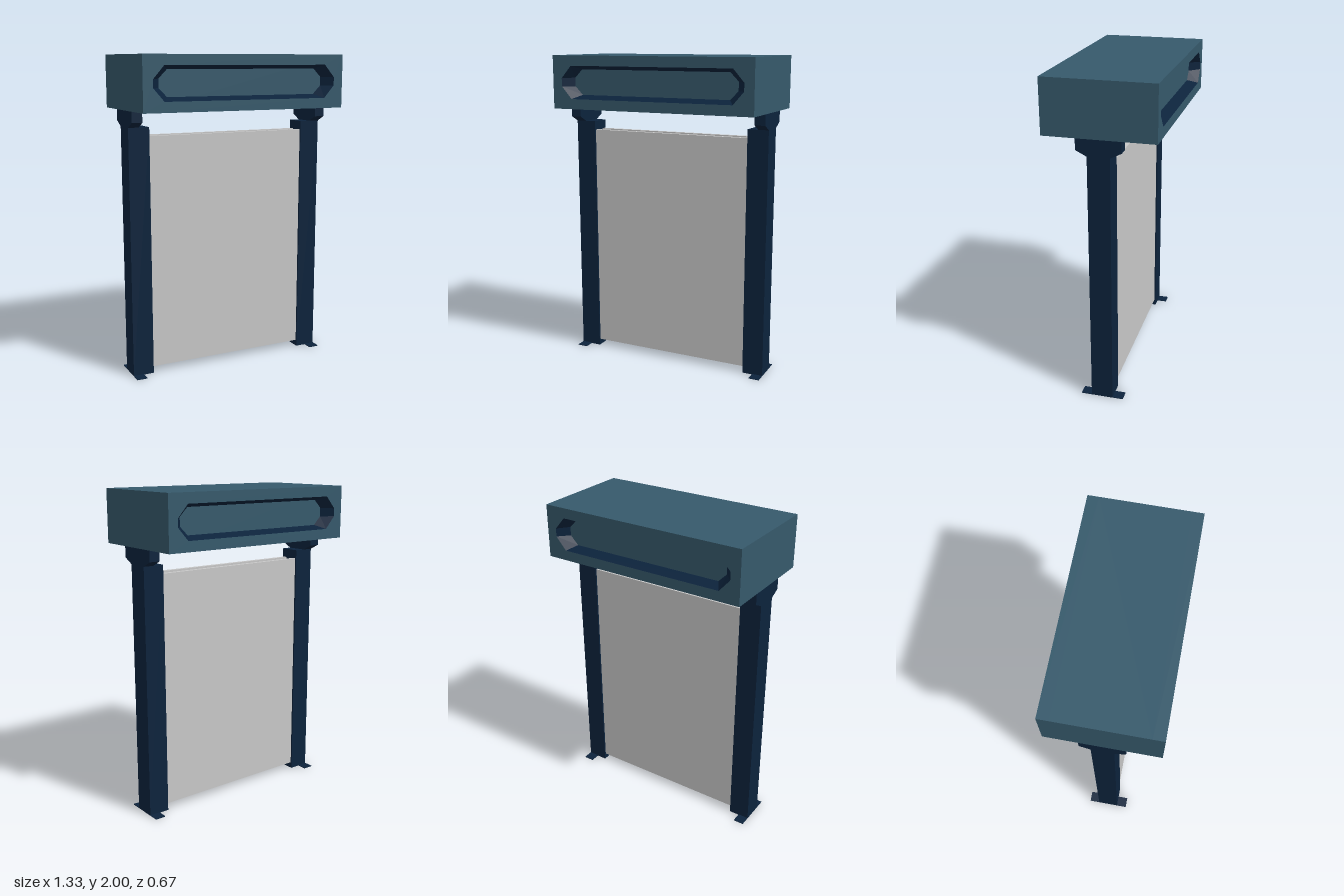
import * as THREE from 'three';

const teal = new THREE.MeshStandardMaterial({ color: 0x36596b });
teal.name = 'teal housing';
const navy = new THREE.MeshStandardMaterial({ color: 0x0c233c });
navy.name = 'navy frame';
const grey = new THREE.MeshStandardMaterial({ color: 0xc8c8c8 });
grey.name = 'grey panel';

function add(parent, name, geometry, material, x = 0, y = 0, z = 0) {
  const mesh = new THREE.Mesh(geometry, material);
  mesh.name = name;
  mesh.position.set(x, y, z);
  parent.add(mesh);
  return mesh;
}

// Long octagon, counter-clockwise: half size (w, h), flat half lengths (fx, fy)
function octagon(w, h, fx, fy) {
  return [[-fx, -h], [fx, -h], [w, -fy], [w, fy], [fx, h], [-fx, h], [-w, fy], [-w, -fy]]
    .map(([x, y]) => new THREE.Vector2(x, y));
}

// Sloping ring from the outer outline at z = depth to the inner one at z = 0
function slopedRing(outer, inner, depth) {
  const points = [];
  outer.forEach((a, k) => {
    const n = (k + 1) % outer.length;
    const b = outer[n], c = inner[n], d = inner[k];
    points.push(a.x, a.y, depth, b.x, b.y, depth, c.x, c.y, 0);
    points.push(a.x, a.y, depth, c.x, c.y, 0, d.x, d.y, 0);
  });
  const geometry = new THREE.BufferGeometry();
  geometry.setAttribute('position', new THREE.Float32BufferAttribute(points, 3));
  geometry.computeVertexNormals();
  return geometry;
}

export function createModel() {
  const model = new THREE.Group();
  model.name = 'gate';

  // Header housing: a solid core with a recessed face on front and back
  const W = 0.667, H = 0.165, depth = 0.067;
  const header = new THREE.Group();
  header.name = 'header';
  header.position.y = 1.835;
  model.add(header);
  add(header, 'headerCore', new THREE.BoxGeometry(W * 2, H * 2, 0.532), teal);

  const outer = octagon(0.605, 0.102, 0.537, 0.025);
  const inner = octagon(0.547, 0.079, 0.495, 0.027);
  const face = new THREE.Shape([[-W, -H], [W, -H], [W, H], [-W, H]].map(([x, y]) => new THREE.Vector2(x, y)));
  face.holes.push(new THREE.Path(outer));
  for (const angle of [0, Math.PI]) {
    const side = new THREE.Group();
    side.name = angle ? 'backFace' : 'frontFace';
    side.rotation.y = angle;
    header.add(side);
    add(side, 'headerFace', new THREE.ExtrudeGeometry(face, { depth, bevelEnabled: false }), teal, 0, 0, 0.266);
    add(side, 'recessWall', slopedRing(outer, inner, depth), navy, 0, 0, 0.266);
  }

  // Posts with tapered top brackets and flat feet
  const bracketShape = new THREE.Shape([
    [-0.067, 1.57], [0.067, 1.57], [0.133, 1.603], [0.133, 1.67], [-0.133, 1.67], [-0.133, 1.603],
  ].map(([x, y]) => new THREE.Vector2(x, y)));
  for (const s of [-1, 1]) {
    const post = new THREE.Group();
    post.name = s > 0 ? 'leftPost' : 'rightPost';
    model.add(post);
    add(post, 'column', new THREE.BoxGeometry(0.134, 1.57, 0.134), navy, s * 0.6, 0.785, 0);
    const bracket = new THREE.ExtrudeGeometry(bracketShape, { depth: 0.067, bevelEnabled: false });
    bracket.translate(0, 0, -0.0335).rotateY(Math.PI / 2);
    add(post, 'bracket', bracket, navy, s * 0.6335, 0, 0);
    add(post, 'foot', new THREE.BoxGeometry(0.067, 0.004, 0.266), navy, s * 0.6335, 0.002, 0);
  }

  // Pair of parallel panels between the posts
  for (const s of [-1, 1]) {
    add(model, s > 0 ? 'frontPanel' : 'backPanel',
      new THREE.BoxGeometry(1.07, 1.475, 0.027), grey, 0, 0.7775, s * 0.043);
  }
  return model;
}
